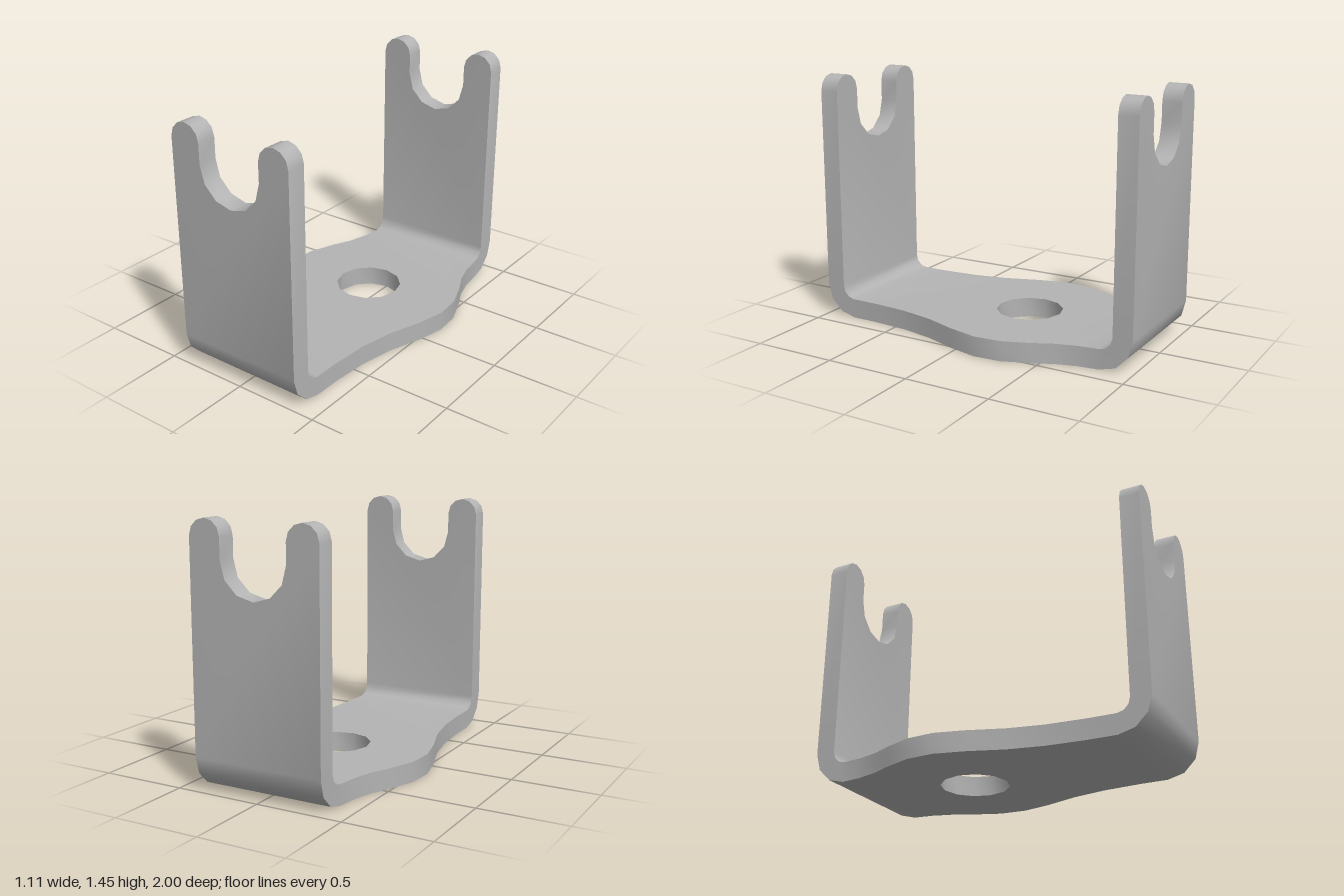
import * as THREE from 'three';
import { mergeGeometries, toCreasedNormals } from 'three/addons/utils/BufferGeometryUtils.js';

const HALF = 0.385, T = 0.115, BEND = 0.19, END = 1 - BEND;

// Points on an arc, angles in degrees
function arc(cx, cy, r, from, to, steps) {
  const pts = [];
  for (let i = 0; i <= steps; i++) {
    const a = THREE.MathUtils.degToRad(from + (to - from) * i / steps);
    pts.push(new THREE.Vector2(cx + r * Math.cos(a), cy + r * Math.sin(a)));
  }
  return pts;
}

function extrude(shape, depth) {
  return new THREE.ExtrudeGeometry(shape, { depth, bevelEnabled: false });
}

// Floor plate with waisted edges and a round hole
function basePlate() {
  const edge = [[HALF, -END], [0.4, -0.69], [0.435, -0.57], [0.487, -0.46], [0.547, -0.3],
    [0.557, -0.14], [0.515, 0.03], [0.445, 0.23], [0.404, 0.43], [0.387, 0.65], [HALF, END]];
  const right = edge.map(([x, z]) => new THREE.Vector2(x, -z));
  const left = edge.map(([x, z]) => new THREE.Vector2(-x, -z)).reverse();
  const shape = new THREE.Shape([...right, ...left]);
  shape.holes.push(new THREE.Path(arc(0, 0.185, 0.195, 0, 330, 11)));
  return extrude(shape, T).rotateX(-Math.PI / 2);
}

// Rounded fold between the floor and an upright
function bend() {
  const outer = arc(END, BEND, BEND, -90, 0, 3);
  const inner = arc(END, BEND, BEND - T, 0, -90, 3);
  return extrude(new THREE.Shape([...outer, ...inner]), HALF * 2)
    .rotateY(-Math.PI / 2).translate(HALF, 0, 0);
}

// Upright with two rounded prongs and a U-shaped notch
function upright() {
  const shape = new THREE.Shape([
    new THREE.Vector2(-HALF, BEND), new THREE.Vector2(HALF, BEND),
    ...arc(0.291, 1.36, 0.094, 0, 180, 6),
    ...arc(0, 1.245, 0.197, 0, -180, 6),
    ...arc(-0.291, 1.36, 0.094, 0, 180, 6),
  ]);
  return extrude(shape, T).translate(0, 0, 1 - T);
}

export function createModel() {
  const steel = new THREE.MeshStandardMaterial({ color: 0xb4b4b4 });
  steel.name = 'grey steel';

  // Joined before smoothing so the folds blend into the flat sheets
  const parts = [basePlate()];
  for (const turn of [0, Math.PI]) parts.push(bend().rotateY(turn), upright().rotateY(turn));
  const plate = new THREE.Mesh(
    toCreasedNormals(mergeGeometries(parts), THREE.MathUtils.degToRad(35)), steel);
  plate.name = 'foldedBracket';

  const model = new THREE.Group();
  model.name = 'forkedBracket';
  model.add(plate);
  return model;
}
